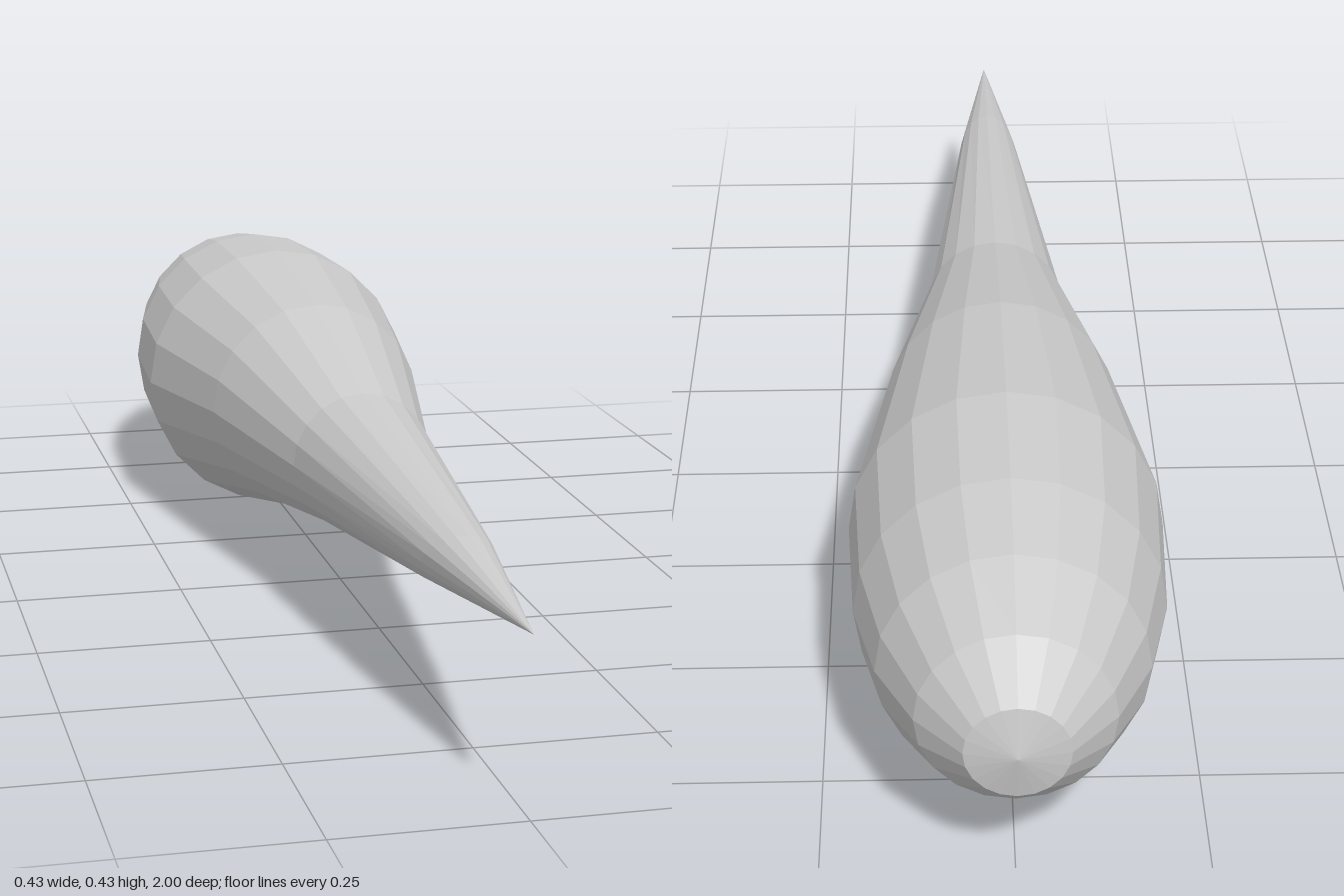
import * as THREE from 'three';

export function createModel() {
  const model = new THREE.Group();

  // Rings from rounded back to pointed front: z, radius, centre height, forward lean of the top
  const rings = [
    [-1, 0, 0.235, 0],
    [-0.986, 0.067, 0.235, 0],
    [-0.919, 0.127, 0.235, 0],
    [-0.812, 0.176, 0.229, 0],
    [-0.674, 0.206, 0.221, 0],
    [-0.473, 0.216, 0.217, 0],
    [-0.17, 0.165, 0.235, 0],
    [0.145, 0.104, 0.225, 0],
    [0.655, 0.048, 0.227, 0.06],
    [1, 0, 0.235, 0],
  ];
  const sides = 20;

  // Turn the profile, lay it along z, then shift and lean each ring
  const geometry = new THREE.LatheGeometry(rings.map(([z, r]) => new THREE.Vector2(r, z)), sides);
  geometry.rotateX(Math.PI / 2);
  const pos = geometry.attributes.position;
  for (let i = 0; i < pos.count; i++) {
    const [z, r, centre, lean] = rings[i % rings.length];
    const y = pos.getY(i);
    pos.setY(i, y + centre);
    pos.setZ(i, z + (r > 0 ? (lean * y) / r : 0));
  }
  geometry.computeVertexNormals();

  const body = new THREE.Mesh(
    geometry,
    new THREE.MeshStandardMaterial({ color: 0xcccccc, flatShading: true })
  );
  body.name = 'taperedBody';
  model.add(body);
  return model;
}
